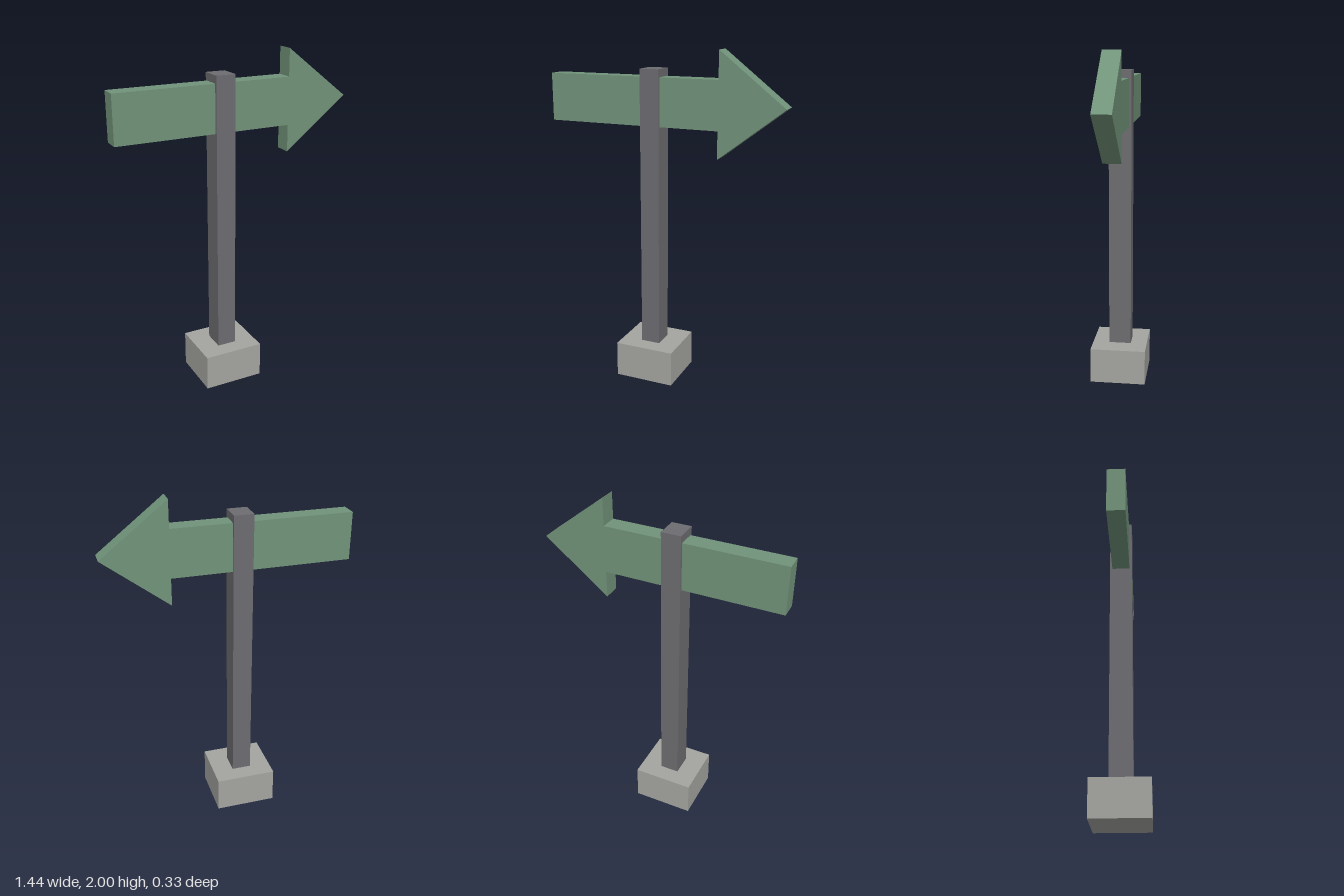
import * as THREE from 'three';

export function createModel() {
  const model = new THREE.Group();

  const add = (name, geometry, color, x, y, z) => {
    const material = new THREE.MeshStandardMaterial({ color, flatShading: true });
    const mesh = new THREE.Mesh(geometry, material);
    mesh.name = name;
    mesh.position.set(x, y, z);
    model.add(mesh);
  };

  const postX = -0.074;
  const baseTop = 0.215;
  const postTop = 1.885;

  // Foundation block
  add('base', new THREE.BoxGeometry(0.364, baseTop, 0.334), 0xa4a4a0, postX, baseTop / 2, 0);

  // Square post standing on the block
  const postHeight = postTop - baseTop;
  add('post', new THREE.BoxGeometry(0.116, postHeight, 0.134), 0x6d6d71, postX, baseTop + postHeight / 2, 0);

  // Arrow-shaped board running through the post, pointing to +x
  const halfBoard = 0.14, halfHead = 0.3, tail = -0.718, neck = 0.334, tip = 0.718;
  const depth = 0.105;
  const outline = new THREE.Shape([
    [tail, -halfBoard], [neck, -halfBoard], [neck, -halfHead], [tip, 0],
    [neck, halfHead], [neck, halfBoard], [tail, halfBoard],
  ].map(([x, y]) => new THREE.Vector2(x, y)));
  const board = new THREE.ExtrudeGeometry(outline, { depth, bevelEnabled: false });
  add('arrowBoard', board, 0x71937a, 0, 1.7, -depth / 2);

  return model;
}
